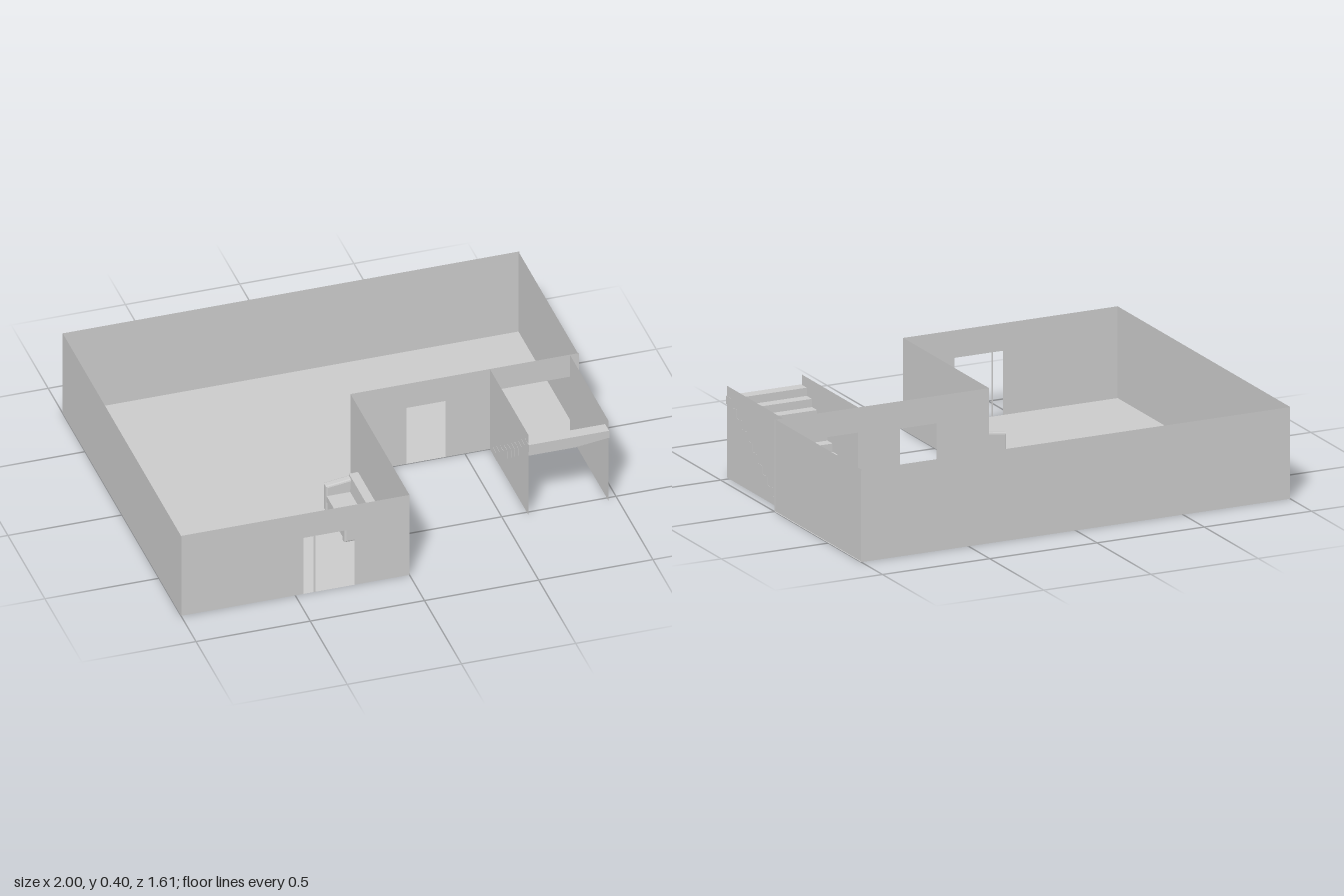
import * as THREE from 'three';

const material = new THREE.MeshStandardMaterial({ color: 0xcccccc, side: THREE.DoubleSide, flatShading: true });
const WALL_HEIGHT = 0.4;
const DOOR_HEIGHT = 0.28;

function part(name, geometry, parent) {
  const mesh = new THREE.Mesh(geometry, material);
  mesh.name = name;
  parent.add(mesh);
  return mesh;
}

function polygon(points) {
  return new THREE.Shape(points.map(([x, y]) => new THREE.Vector2(x, y)));
}

// Thin wall from (x0, z0) to (x1, z1); openings are [start, end, height] along it.
function wall(name, [x0, z0], [x1, z1], openings, parent) {
  const length = Math.hypot(x1 - x0, z1 - z0);
  const outline = [[0, 0]];
  for (const [a, b, h] of openings) outline.push([a, 0], [a, h], [b, h], [b, 0]);
  outline.push([length, 0], [length, WALL_HEIGHT], [0, WALL_HEIGHT]);
  const mesh = part(name, new THREE.ShapeGeometry(polygon(outline)), parent);
  mesh.position.set(x0, 0, z0);
  mesh.rotation.y = -Math.atan2(z1 - z0, x1 - x0);
}

function box(name, [x0, x1], [y0, y1], [z0, z1], parent) {
  const mesh = part(name, new THREE.BoxGeometry(x1 - x0, y1 - y0, z1 - z0), parent);
  mesh.position.set((x0 + x1) / 2, (y0 + y1) / 2, (z0 + z1) / 2);
}

// Profile in x/y, extruded along z with bevelled edges inside the given span.
function bevelled(name, points, z0, z1, bevel, parent) {
  const geometry = new THREE.ExtrudeGeometry(polygon(points), {
    depth: z1 - z0 - 2 * bevel, bevelEnabled: true, bevelSize: bevel,
    bevelThickness: bevel, bevelOffset: -bevel, bevelSegments: 2,
  });
  part(name, geometry, parent).position.z = z0 + bevel;
}

function createSofa() {
  const sofa = new THREE.Group();
  sofa.name = 'sofa';
  box('sofaBase', [-0.178, -0.05], [0.003, 0.06], [0.215, 0.475], sofa);
  bevelled('seatCushion', [[-0.183, 0.05], [-0.08, 0.05], [-0.08, 0.08], [-0.183, 0.08]], 0.235, 0.455, 0.008, sofa);
  bevelled('backrest', [[-0.085, 0.003], [-0.035, 0.003], [-0.035, 0.15], [-0.075, 0.15]], 0.202, 0.49, 0.01, sofa);
  // Armrests slope gently up to the backrest
  for (const [z0, z1] of [[0.202, 0.24], [0.452, 0.49]]) {
    bevelled('armrest', [[-0.185, 0.003], [-0.04, 0.003], [-0.04, 0.15], [-0.085, 0.138], [-0.185, 0.125]], z0, z1, 0.008, sofa);
  }
  return sofa;
}

function createStairs() {
  const stairs = new THREE.Group();
  stairs.name = 'stairs';
  // Ten overlapping steps climbing outwards from the rear room
  const run = 0.048, rise = 0.0355;
  for (let i = 0; i < 10; i++) {
    const z = 0.045 + i * run;
    box('step', [0.609, 0.961], [i * rise, (i + 1) * rise], [z, z + 0.053], stairs);
  }
  for (const x of [0.61, 0.96]) wall('stairSideWall', [x, 0], [x, 0.52], [], stairs);
  return stairs;
}

export function createModel() {
  const model = new THREE.Group();
  model.name = 'house';

  // L-shaped floor
  const floor = part('floor', new THREE.ShapeGeometry(polygon([
    [-1, 0.803], [1, 0.803], [1, 0], [0, 0], [0, -0.797], [-1, -0.797],
  ])), model);
  floor.rotation.x = -Math.PI / 2;

  // Outer walls with door, side light and stair openings
  const walls = new THREE.Group();
  walls.name = 'walls';
  wall('backWall', [-1, -0.803], [1, -0.803], [], walls);
  wall('rightWall', [-1, -0.803], [-1, 0.803], [], walls);
  wall('leftWall', [0.995, -0.803], [0.995, 0], [], walls);
  wall('frontWall', [-1, 0.797], [0, 0.797], [[0.535, 0.58, DOOR_HEIGHT], [0.588, 0.76, DOOR_HEIGHT]], walls);
  wall('courtSideWall', [0, 0], [0, 0.797], [], walls);
  wall('courtBackWall', [0, 0], [1, 0], [[0.245, 0.415, DOOR_HEIGHT], [0.61, 0.96, 0.29]], walls);
  model.add(walls);

  model.add(createStairs(), createSofa());
  return model;
}
